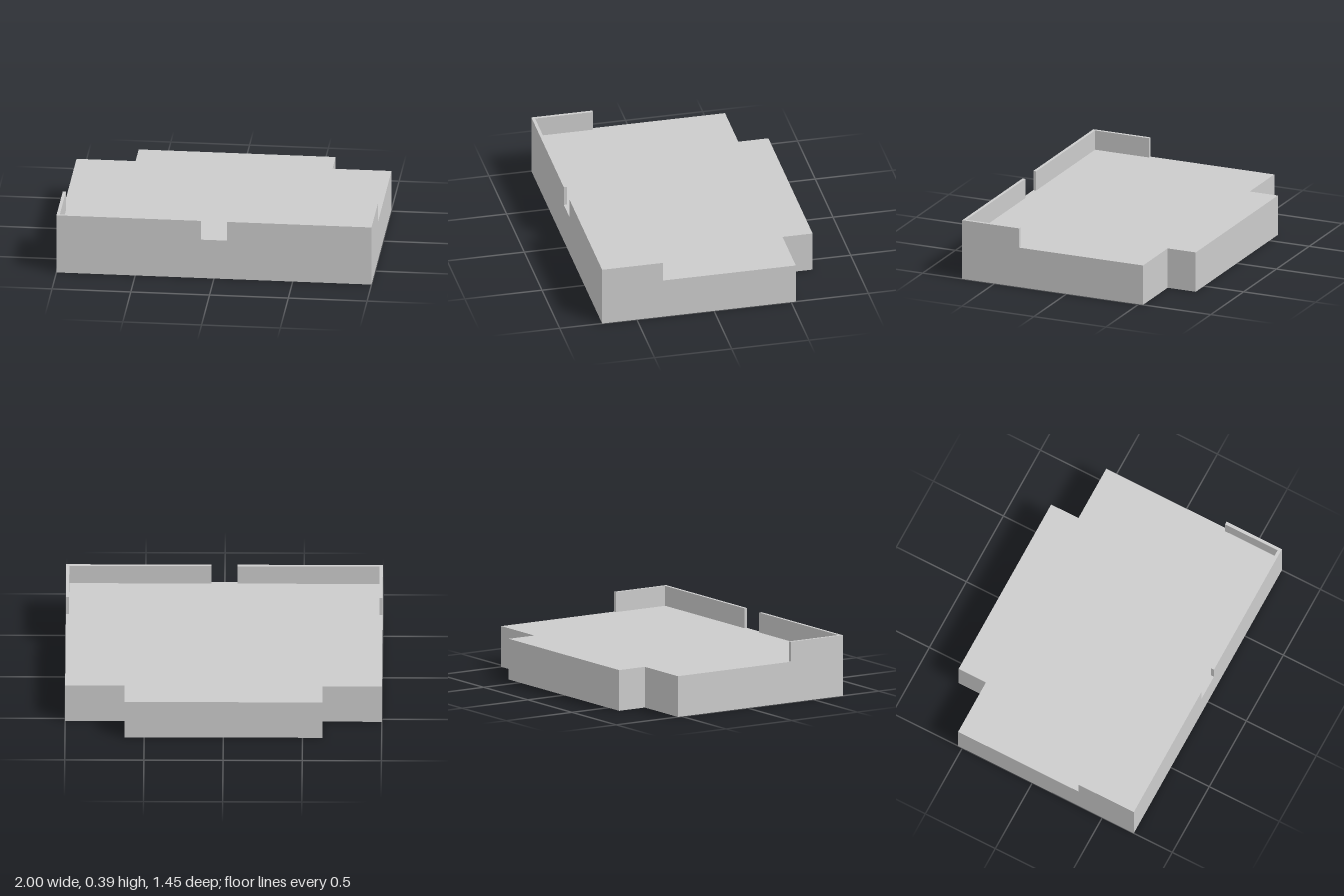
import * as THREE from 'three';

const FRONT = 0.725, BACK = -0.725, STEP = -0.53; // z positions
const DECK = 0.262, TOP = 0.39;                   // heights
const WALL = 0.02;                                // parapet thickness

// Extrudes a ground plan, given as [x, z] corners, from y0 up to y1
function slab(name, plan, y0, y1, material) {
  const shape = new THREE.Shape(plan.map(([x, z]) => new THREE.Vector2(x, -z)));
  const geometry = new THREE.ExtrudeGeometry(shape, { depth: y1 - y0, bevelEnabled: false });
  geometry.rotateX(-Math.PI / 2);
  geometry.translate(0, y0, 0);
  const mesh = new THREE.Mesh(geometry, material);
  mesh.name = name;
  return mesh;
}

export function createModel() {
  const group = new THREE.Group();
  group.name = 'terrace';
  const material = new THREE.MeshStandardMaterial({ color: 0xcccccc, flatShading: true });

  // Solid base with a narrower section projecting at the back
  group.add(slab('base', [
    [-1, FRONT], [1, FRONT], [1, STEP], [0.625, STEP],
    [0.625, BACK], [-0.625, BACK], [-0.625, STEP], [-1, STEP],
  ], 0, DECK, material));

  // Two thin L-shaped parapets with a gap between them at the front
  for (const [name, s] of [['leftParapet', 1], ['rightParapet', -1]]) {
    const plan = [
      [0.083, FRONT], [1, FRONT], [1, 0.33], [1 - WALL, 0.33],
      [1 - WALL, FRONT - WALL], [0.083, FRONT - WALL],
    ].map(([x, z]) => [s * x, z]);
    group.add(slab(name, plan, DECK, TOP, material));
  }
  return group;
}
